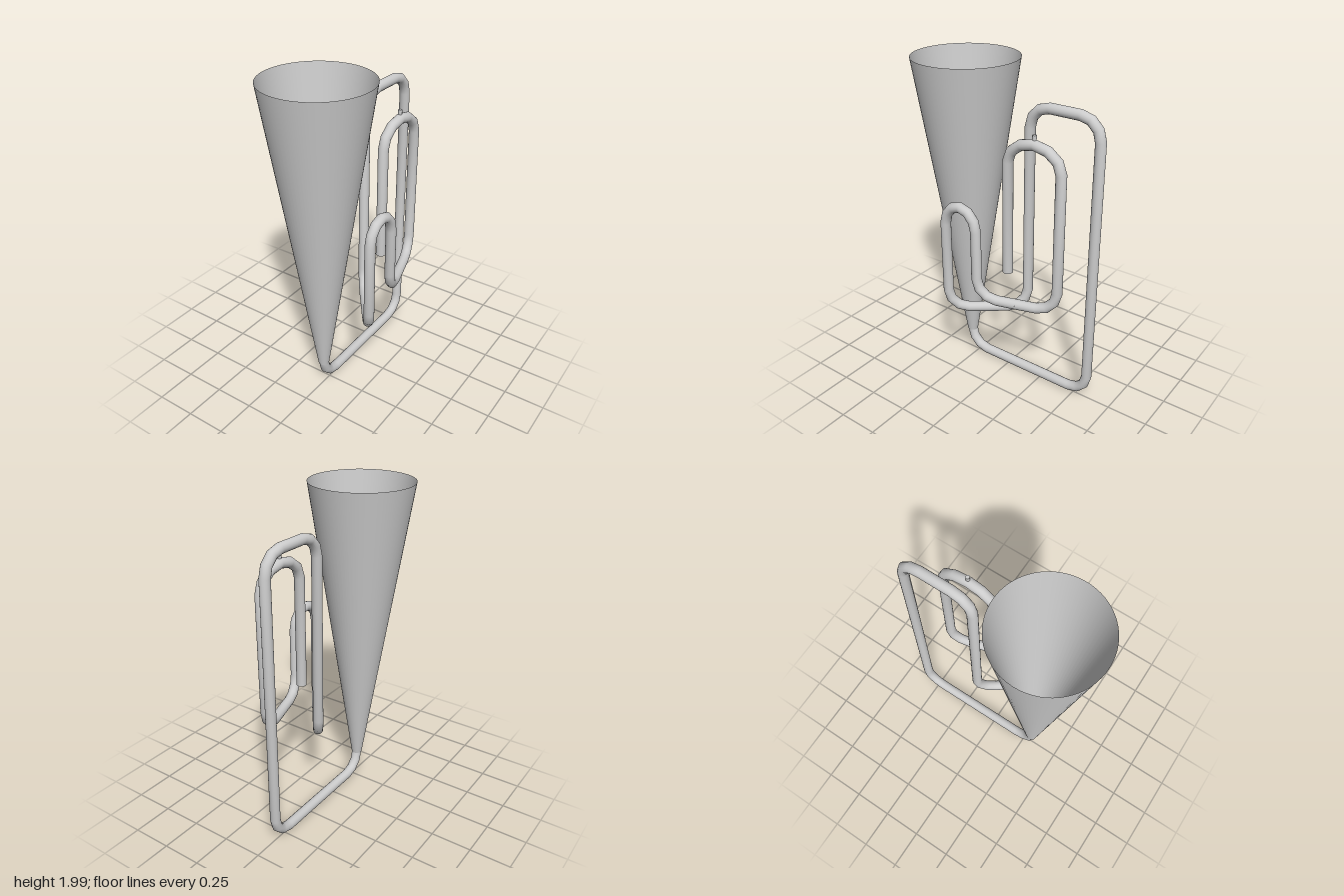
import * as THREE from 'three';

const material = new THREE.MeshStandardMaterial({ color: 0xcccccc, side: THREE.DoubleSide });
const TUBE = 0.031;
const X = -0.004; // plane of the bell and the main loop
const v = (x, y, z) => new THREE.Vector3(x, y, z);

// Curve that hits its points exactly, so bends keep their few straight facets
class PolyCurve extends THREE.Curve {
  constructor(points) {
    super();
    this.points = points;
  }
  index(u) {
    return Math.round(u * (this.points.length - 1));
  }
  getPoint(u, target = new THREE.Vector3()) {
    return target.copy(this.points[this.index(u)]);
  }
  getPointAt(u, target) {
    return this.getPoint(u, target);
  }
  getTangentAt(u, target = new THREE.Vector3()) {
    const p = this.points, i = this.index(u);
    target.set(0, 0, 0);
    if (i > 0) target.add(p[i].clone().sub(p[i - 1]).normalize());
    if (i < p.length - 1) target.add(p[i + 1].clone().sub(p[i]).normalize());
    return target.normalize();
  }
}

// Replaces each corner [point, cutBefore, cutAfter] by a three-segment bend
function roundCorners(start, corners, end) {
  const path = [start];
  corners.forEach(([corner, before = 0.125, after = before], i) => {
    const prev = i ? corners[i - 1][0] : start;
    const next = i < corners.length - 1 ? corners[i + 1][0] : end;
    const a = prev.clone().sub(corner).setLength(before);
    const b = next.clone().sub(corner).setLength(after);
    for (let k = 0; k <= 3; k++) {
      const t = (k / 3) * Math.PI / 2;
      const p = corner.clone()
        .addScaledVector(a, 1 - Math.sin(t))
        .addScaledVector(b, 1 - Math.cos(t));
      if (p.distanceTo(path[path.length - 1]) > 0.005) path.push(p);
    }
  });
  path.push(end);
  return path;
}

function add(group, name, geometry, position) {
  const mesh = new THREE.Mesh(geometry, material);
  mesh.name = name;
  if (position) mesh.position.copy(position);
  group.add(mesh);
  return mesh;
}

function addTube(group, name, start, corners, end) {
  const path = roundCorners(start, corners, end);
  add(group, name, new THREE.TubeGeometry(new PolyCurve(path), path.length - 1, TUBE, 20));
}

export function createModel() {
  const group = new THREE.Group();
  group.name = 'hornInstrument';

  // Long open conical bell
  add(group, 'bell', new THREE.CylinderGeometry(0.315, 0.033, 1.84, 64, 1, true), v(X, 1.08, 0.303));

  // Tall loop from the bell throat, behind it and back down
  const joint = v(0.143, 0.506, 0.05);
  addTube(group, 'mainLoop', v(X, 0.165, 0.303), [
    [v(X, 0.038, 0.303)],
    [v(X, 0.038, -0.585)],
    [v(X, 1.796, -0.585)],
    [v(X, 1.796, -0.143)],
    [v(X, 0.506, -0.143)],
  ], joint);

  // Side loop: slants outward, folds over, then slants back to the rear loop
  addTube(group, 'sideLoop', joint, [
    [v(0.29, 0.506, 0.244)],
    [v(0.29, 1.215, 0.244), 0.125, 0.111],
    [v(0.29, 1.215, 0.022), 0.111, 0.125],
    [v(0.29, 0.66, 0.022)],
  ], v(0.22, 0.66, -0.213));

  // Rear loop ending in the mouthpipe
  const pipeEnd = v(0.149, 0.81, -0.102);
  addTube(group, 'rearLoop', v(0.22, 0.66, -0.213), [
    [v(0.149, 0.66, -0.448)],
    [v(0.149, 1.637, -0.448), 0.13, 0.173],
    [v(0.149, 1.637, -0.102), 0.173, 0.13],
  ], pipeEnd);

  // Closed end of the mouthpipe
  const cap = add(group, 'mouthpipeCap', new THREE.CircleGeometry(TUBE, 20), pipeEnd);
  cap.rotation.x = Math.PI / 2;

  // Small peg on top of the rear loop
  add(group, 'peg', new THREE.CylinderGeometry(0.012, 0.012, 0.06, 12), v(0.149, 1.663, -0.275));

  return group;
}
